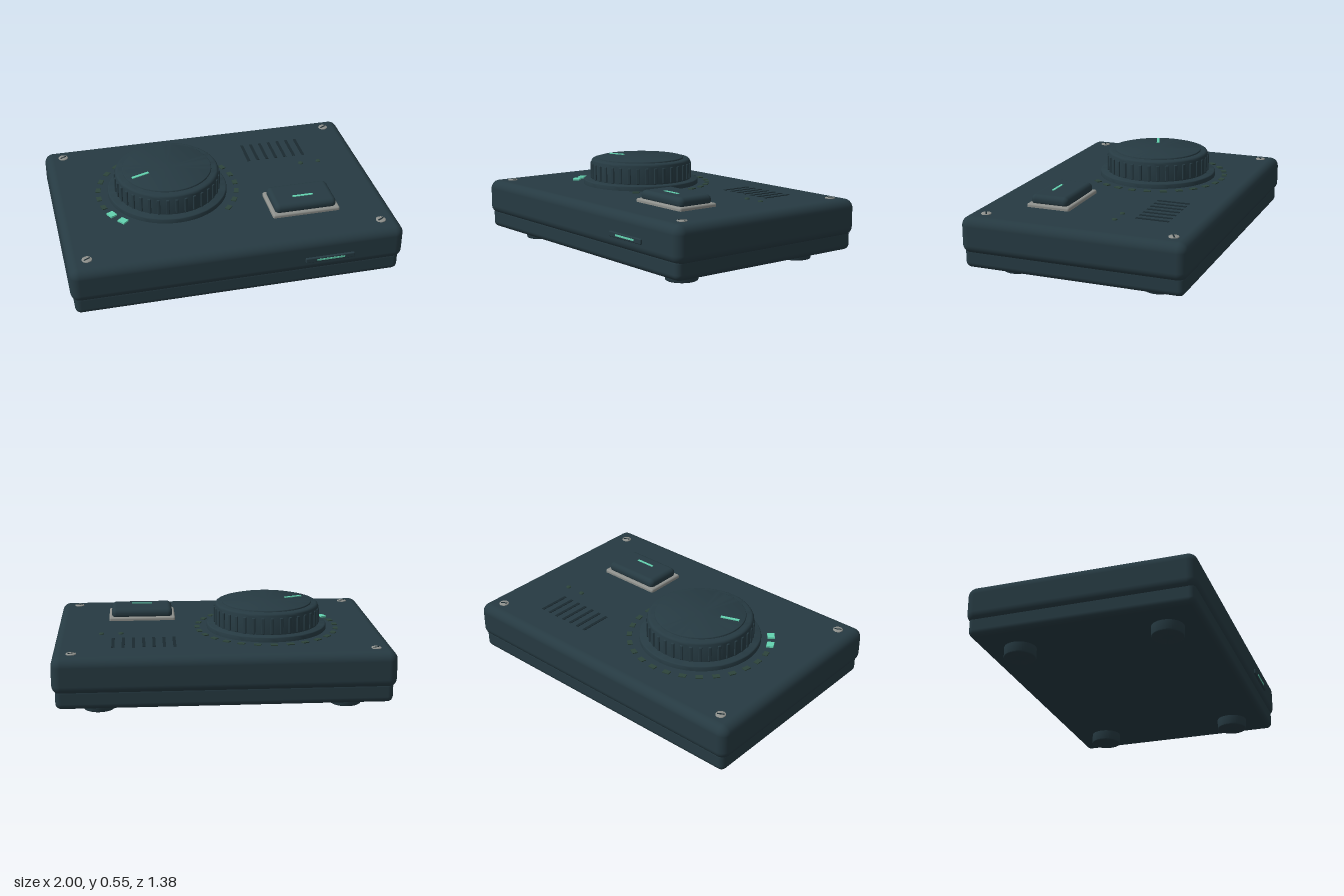
import * as THREE from 'three';
import { toCreasedNormals } from 'three/addons/utils/BufferGeometryUtils.js';
import { RoundedBoxGeometry } from 'three/addons/geometries/RoundedBoxGeometry.js';

const paint = (name, color) => {
  const m = new THREE.MeshStandardMaterial({ color });
  m.name = name;
  return m;
};

export function createModel() {
  const casing = paint('dark slate', 0x263a42);
  const recess = paint('deep slate', 0x1b2a30);
  const unlit = paint('dim green', 0x2d443b);
  const lit = paint('mint light', 0x63d2b0);
  const metal = paint('grey metal', 0x8e908c);

  const model = new THREE.Group();
  model.name = 'controlBox';

  const add = (name, geometry, material, x, y, z, parent = model) => {
    const mesh = new THREE.Mesh(geometry, material);
    mesh.name = name;
    mesh.position.set(x, y, z);
    parent.add(mesh);
    return mesh;
  };
  const group = (name, x = 0, y = 0, z = 0) => {
    const g = new THREE.Group();
    g.name = name;
    g.position.set(x, y, z);
    model.add(g);
    return g;
  };
  const box = (w, h, d) => new THREE.BoxGeometry(w, h, d);
  // Turned solid: capped cylinder with a rounded top (and optionally bottom) rim
  const turned = (r, y0, y1, top, bottom = 0, segments = 72) => {
    const pts = [new THREE.Vector2(0, y0)];
    const arc = (cx, cy, rad, from) => {
      if (!rad) { pts.push(new THREE.Vector2(cx, cy)); return; }
      for (let i = 0; i <= 4; i++) {
        const a = from + (i / 4) * Math.PI / 2;
        pts.push(new THREE.Vector2(cx + rad * Math.cos(a), cy + rad * Math.sin(a)));
      }
    };
    arc(r - bottom, y0 + bottom, bottom, -Math.PI / 2);
    arc(r - top, y1 - top, top, 0);
    pts.push(new THREE.Vector2(0, y1));
    return toCreasedNormals(new THREE.LatheGeometry(pts, segments), 0.6);
  };

  // Casing in two shells
  const midZ = -0.007;
  const deck = 0.372;
  add('upperShell', new RoundedBoxGeometry(2, 0.222, 1.365, 5, 0.055), casing, 0, 0.261, midZ);
  add('lowerShell', new RoundedBoxGeometry(1.96, 0.13, 1.335, 4, 0.035), casing, 0, 0.128, midZ);

  // Feet and corner screws
  for (const sx of [-1, 1]) {
    for (const sz of [-1, 1]) {
      add('foot', turned(0.094, 0, 0.075, 0, 0.008, 36), casing, sx * 0.735, 0, midZ + sz * 0.444);
      const screw = group('screw', sx * 0.885, deck, -0.013 + sz * 0.57);
      add('screwHead', turned(0.03, -0.005, 0.005, 0.003, 0, 24), metal, 0, 0, 0, screw);
      add('screwSlot', box(0.042, 0.002, 0.009), recess, 0, 0.0055, 0, screw);
      screw.rotation.y = 0.5;
    }
  }

  // Large ribbed dial
  const dial = group('dial', -0.298, 0, -0.057);
  add('dialBase', turned(0.37, 0.36, 0.403, 0.01), casing, 0, 0, 0, dial);
  add('dialBody', turned(0.32, 0.4, 0.532, 0.02), casing, 0, 0, 0, dial);
  add('dialCap', turned(0.275, 0.525, 0.541, 0.006), casing, 0, 0, 0, dial);
  const ribs = 36;
  for (let i = 0; i < ribs; i++) {
    const a = (i / ribs) * Math.PI * 2;
    const rib = add('dialRib', new RoundedBoxGeometry(0.02, 0.1, 0.02, 2, 0.005), casing,
      Math.cos(a) * 0.318, 0.456, Math.sin(a) * 0.318, dial);
    rib.rotation.y = -a;
  }
  const pointer = add('dialPointer', box(0.115, 0.008, 0.018), lit, -0.175, 0.542, 0.064, dial);
  pointer.rotation.y = 0.35;

  // Arc of indicator lights, the first two lit
  const lights = 21;
  const sweep = THREE.MathUtils.degToRad(262);
  for (let i = 0; i < lights; i++) {
    const a = Math.PI * 1.5 - sweep / 2 + (i / (lights - 1)) * sweep;
    const on = i < 2;
    const light = add(on ? 'litIndicator' : 'dimIndicator',
      on ? box(0.043, 0.012, 0.05) : box(0.03, 0.008, 0.042), on ? lit : unlit,
      Math.cos(a) * 0.43, deck + (on ? 0.005 : 0.002), Math.sin(a) * 0.43, dial);
    light.rotation.y = -a;
  }

  // Speaker slots and two small status dots
  for (let i = 0; i < 7; i++) {
    add('ventSlot', box(0.018, 0.004, 0.2), recess, 0.285 + i * 0.0605, deck + 0.001, -0.37);
  }
  for (const x of [0.603, 0.721]) {
    add('statusDot', turned(0.015, -0.003, 0.007, 0.003, 0, 20), unlit, x, deck, -0.171);
  }

  // Push button in a metal bezel
  const button = group('button', 0.471, 0, 0.267);
  add('buttonBezel', new RoundedBoxGeometry(0.418, 0.035, 0.27, 3, 0.012), metal, 0, 0.376, 0, button);
  add('buttonCap', new RoundedBoxGeometry(0.384, 0.065, 0.238, 4, 0.03), casing, 0, 0.411, 0, button);
  add('buttonLight', box(0.128, 0.008, 0.015), lit, 0, 0.443, 0.032, button);

  // Front slot with a light bar
  add('frontSlot', new RoundedBoxGeometry(0.302, 0.032, 0.03, 2, 0.006), casing, 0.536, 0.238, 0.673);
  add('frontSlotLight', box(0.172, 0.011, 0.006), lit, 0.539, 0.239, 0.687);

  return model;
}
